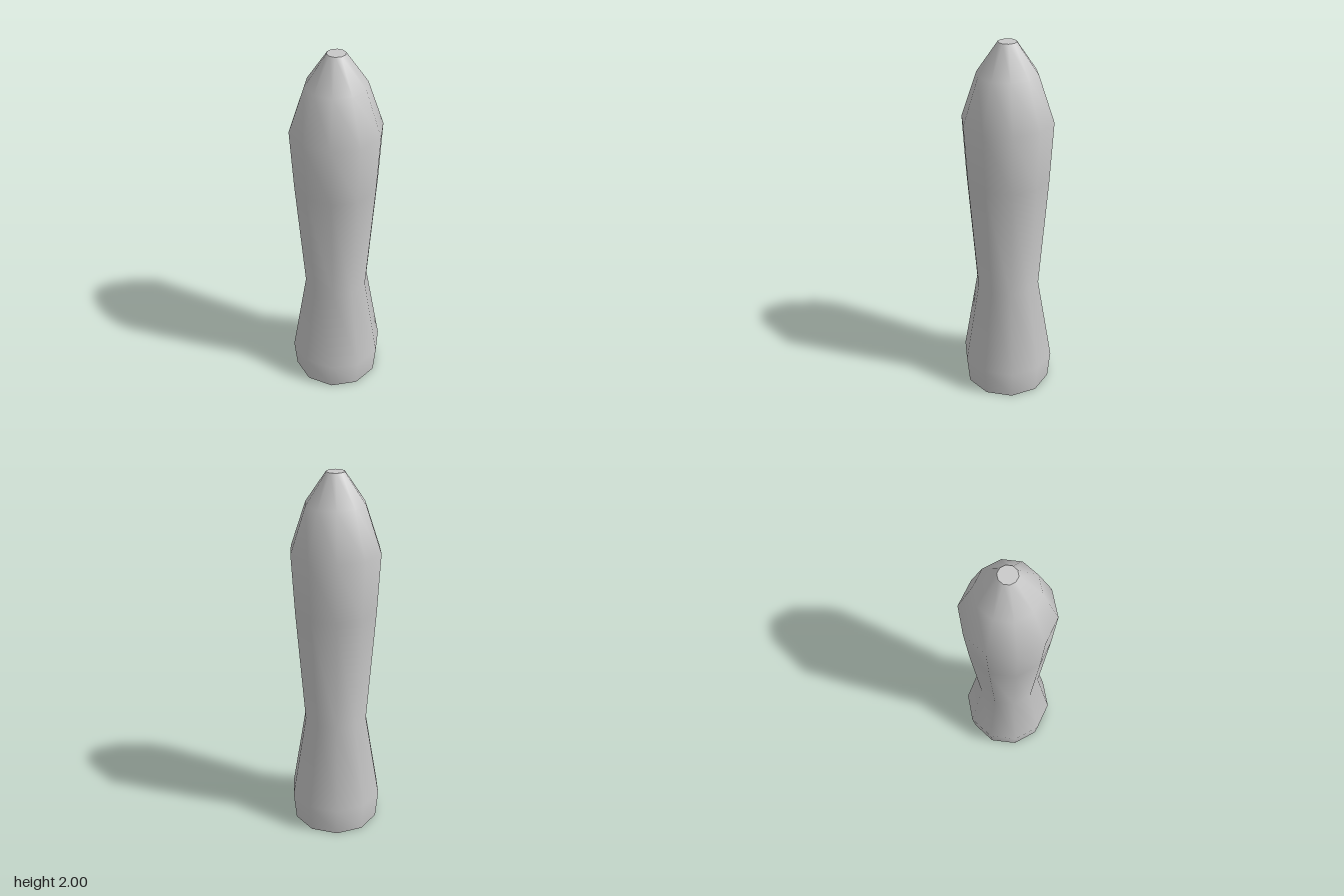
import * as THREE from 'three';

const SIDES = 10;

export function createModel() {
  const group = new THREE.Group();
  group.name = 'handle';
  const grey = new THREE.MeshStandardMaterial({ color: 0xc8c8c8 });
  grey.name = 'grey';

  const add = (name, geometry, y = 0) => {
    const mesh = new THREE.Mesh(geometry, grey);
    mesh.name = name;
    mesh.position.y = y;
    group.add(mesh);
  };

  // Smooth ten-sided body: flared foot, narrow waist, swelling grip, tapered tip
  const profile = [
    [0.24, 0], [0.255, 0.16], [0.174, 0.645], [0.222, 1.28],
    [0.24, 1.6], [0.158, 1.84], [0.048, 2],
  ].map(([r, y]) => new THREE.Vector2(r, y));
  add('body', new THREE.LatheGeometry(profile, SIDES, Math.PI / 2));

  // Flat end caps
  add('tipCap', new THREE.CircleGeometry(0.048, SIDES).rotateX(-Math.PI / 2), 2);
  add('baseCap', new THREE.CircleGeometry(0.24, SIDES).rotateX(Math.PI / 2));

  return group;
}
